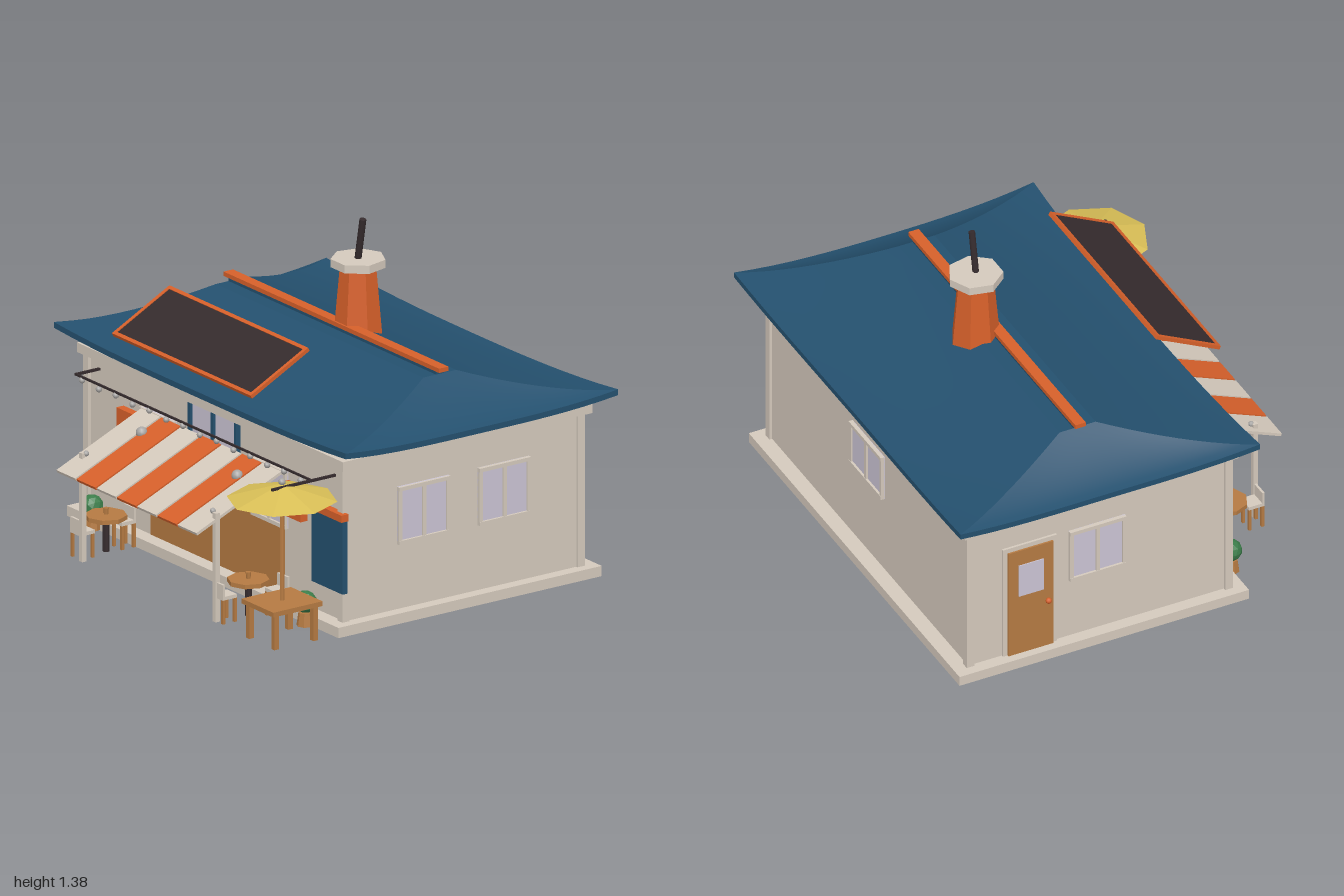
import * as THREE from 'three';

const mat = (name, color, extra = {}) => Object.assign(new THREE.MeshStandardMaterial({ color, ...extra }), { name });
const cream = mat('cream', 0xd4c9bc), orange = mat('orange', 0xd6602a), blue = mat('blue', 0x24506e);
const dark = mat('dark', 0x352b2d), wood = mat('wood', 0xb57a42), glass = mat('glass', 0xcbc4d4);
const green = mat('green', 0x3c7d4a, { flatShading: true }), grey = mat('grey', 0xa9a7a5);
const yellow = mat('yellow', 0xd8be56, { flatShading: true, side: THREE.DoubleSide });
const flatOrange = orange, CX = -0.015, CZ = -0.2;

function add(parent, name, geo, material, x = 0, y = 0, z = 0) {
  const m = new THREE.Mesh(geo, material);
  m.name = name;
  m.position.set(x, y, z);
  parent.add(m);
  return m;
}
// box given by its extents on each axis
function box(parent, name, material, x0, x1, y0, y1, z0, z1) {
  return add(parent, name, new THREE.BoxGeometry(x1 - x0, y1 - y0, z1 - z0), material,
    (x0 + x1) / 2, (y0 + y1) / 2, (z0 + z1) / 2);
}
// faceted prism or frustum standing on y
function prism(parent, name, material, rTop, rBottom, y0, y1, x, z, sides) {
  const geo = new THREE.CylinderGeometry(rTop, rBottom, y1 - y0, sides).toNonIndexed();
  geo.computeVertexNormals();
  return add(parent, name, geo, material, x, (y0 + y1) / 2, z);
}
function group(parent, name, x = 0, y = 0, z = 0, turn = 0) {
  const g = new THREE.Group();
  g.name = name;
  g.position.set(x, y, z);
  g.rotation.y = turn;
  parent.add(g);
  return g;
}

// framed window on a wall, its outside facing local +z, origin at the sill centre
function windowUnit(parent, name, x, y, z, turn, w = 0.25, h = 0.24) {
  const g = group(parent, name, x, y, z, turn), f = 0.016;
  box(g, 'pane', glass, -w / 2, w / 2, 0, h, 0, 0.008);
  for (const s of [-1, 0, 1]) {
    const c = s * (w - f) / 2;
    box(g, 'frameUpright', cream, c - f / 2, c + f / 2, 0, h, 0, 0.016);
  }
  for (const y0 of [0, h - f]) box(g, 'frameRail', cream, -w / 2, w / 2, y0, y0 + f, 0, 0.018);
}

// one side of the curved roof: t runs from eave (0) to ridge (1), u along the eave
function roofSheet(k, rows, drop, flip) {
  const [hw, hd, rw, rd] = k % 2 ? [0.665, 0.985, 0.08, 0.7] : [0.985, 0.665, 0.7, 0.08];
  const geo = new THREE.PlaneGeometry(2, 1, 16, rows), p = geo.attributes.position;
  for (let i = 0; i < p.count; i++) {
    const u = p.getX(i), v = p.getY(i) + 0.5, t = rows > 1 ? v : 0;
    const y = 0.765 + 0.15 * t ** 1.4 + 0.03 * (1 - t) ** 2 * Math.abs(u) ** 3;
    p.setXYZ(i, u * THREE.MathUtils.lerp(hw, rw, t), y - (rows > 1 ? drop : drop * (1 - v)),
      THREE.MathUtils.lerp(hd, rd, t) + 0.015 * (1 - t) * (u * u - 1));
  }
  if (flip) geo.index.array.reverse();
  geo.computeVertexNormals();
  return geo.rotateY(k * Math.PI / 2);
}

function buildRoof(root) {
  const roof = group(root, 'roof', CX, 0, CZ);
  for (let k = 0; k < 4; k++) {
    add(roof, 'roofSlope', roofSheet(k, 10, 0, false), blue);
    add(roof, 'eaveEdge', roofSheet(k, 1, 0.024, false), blue);
    add(roof, 'soffit', roofSheet(k, 10, 0.024, true), cream);
  }
  box(roof, 'ridgeTop', blue, -0.7, 0.7, 0.895, 0.915, -0.08, 0.08);
  box(roof, 'ridgeBeam', blue, -0.7, 0.7, 0.91, 0.935, -0.018, 0.018);
  box(roof, 'ridgeCap', orange, -0.727, 0.727, 0.93, 0.948, -0.023, 0.023);

  // chimney with cap and leaning pipe
  const chimney = group(root, 'chimney', 0.038, 0, -0.27, Math.PI);
  prism(chimney, 'chimneyStack', flatOrange, 0.074, 0.1, 0.88, 1.175, 0, 0, 7);
  prism(chimney, 'chimneyCap', cream, 0.112, 0.112, 1.173, 1.207, 0, 0, 7);
  const pipe = add(root, 'pipe', new THREE.CylinderGeometry(0.014, 0.014, 0.18, 8), dark, 0.06, 1.29, -0.265);
  pipe.rotation.z = -0.19;

  // tilted roof board
  const board = group(root, 'roofBoard', -0.017, 0.975, 0.41);
  board.rotation.x = 0.472;
  box(board, 'boardPanel', dark, -0.46, 0.46, -0.005, 0.005, -0.15, 0.15);
  for (const s of [-1, 1]) {
    box(board, 'boardSide', orange, s * 0.46 - 0.008, s * 0.46 + 0.008, -0.008, 0.008, -0.158, 0.158);
    box(board, 'boardRail', orange, -0.468, 0.468, -0.008, 0.008, s * 0.15 - 0.008, s * 0.15 + 0.008);
  }
}

function buildWalls(root) {
  box(root, 'base', cream, -0.933, 0.9, 0, 0.043, -0.835, 0.45);
  box(root, 'walls', cream, -0.88, 0.85, 0.043, 0.765, -0.77, 0.385);
  for (const x of [-0.875, 0.842]) for (const z of [-0.765, 0.383])
    box(root, 'cornerPost', cream, x - 0.017, x + 0.017, 0.043, 0.69, z - 0.017, z + 0.017);
  box(root, 'topBeam', cream, -0.91, 0.885, 0.685, 0.725, -0.8, 0.417);

  for (const z of [0.004, -0.389]) windowUnit(root, 'sideWindow', 0.85, 0.315, z, Math.PI / 2);
  windowUnit(root, 'leftWindow', -0.88, 0.315, -0.2, -Math.PI / 2);
  windowUnit(root, 'backWindow', -0.015, 0.387, -0.77, Math.PI, 0.28, 0.205);

  // side door
  const door = group(root, 'sideDoor', -0.88, 0.043, -0.5, -Math.PI / 2);
  box(door, 'doorFrame', cream, -0.12, 0.12, 0, 0.52, 0, 0.01);
  box(door, 'doorLeaf', wood, -0.1, 0.1, 0, 0.5, 0, 0.018);
  box(door, 'doorPane', glass, -0.055, 0.055, 0.28, 0.43, 0.018, 0.022);
  add(door, 'doorKnob', new THREE.SphereGeometry(0.013, 8, 6), orange, 0.075, 0.22, 0.025);

  // shop front: shuttered windows, serving window, counter panel, blue door
  for (const x of [-0.395, 0.358]) {
    windowUnit(root, 'frontWindow', x, 0.325, 0.385, 0, 0.23);
    for (const s of [-1, 1]) box(root, 'shutter', orange, x + s * 0.18 - 0.064, x + s * 0.18 + 0.064, 0.395, 0.53, 0.385, 0.42);
  }
  box(root, 'servingPane', glass, -0.18, 0.145, 0.335, 0.695, 0.385, 0.393);
  for (const x of [-0.173, -0.017, 0.14]) box(root, 'servingMullion', blue, x - 0.008, x + 0.008, 0.335, 0.695, 0.385, 0.405);
  box(root, 'counterPanel', wood, -0.45, 0.45, 0.045, 0.325, 0.385, 0.391);
  box(root, 'menuPanel', dark, -0.015, 0.09, 0.335, 0.4, 0.385, 0.41);
  add(root, 'sillPlant', new THREE.IcosahedronGeometry(0.032, 0), green, -0.213, 0.36, 0.41);
  box(root, 'blueDoor', blue, 0.66, 0.87, 0.165, 0.475, 0.385, 0.408);
  box(root, 'doorLintel', orange, 0.655, 0.878, 0.47, 0.5, 0.385, 0.42);
}

function buildAwning(root) {
  const awning = group(root, 'awning', -0.0135, 0.474, 0.615);
  awning.rotation.x = Math.atan2(0.173, 0.41);
  for (let i = 0; i < 7; i++) {
    const x = (i - 3) * 0.1363;
    box(awning, 'awningStripe', i % 2 ? orange : cream, x - 0.0635, x + 0.0635, -0.006, 0.006, -0.225, 0.225);
  }
  box(awning, 'awningRail', orange, -0.45, 0.45, -0.018, -0.006, 0.2, 0.215);
  for (const x of [-0.45, 0.45]) {
    box(root, 'awningPost', cream, x - 0.011, x + 0.011, 0, 0.455, 0.71, 0.732);
    add(root, 'awningBolt', new THREE.SphereGeometry(0.012, 8, 6), grey, x * 0.95 - 0.015, 0.45, 0.71);
  }
  for (const x of [-0.345, 0.3]) add(root, 'awningLamp', new THREE.SphereGeometry(0.024, 10, 8), grey, x, 0.525, 0.51);

  // string lights
  box(root, 'lightWire', dark, -0.8, 0.8, 0.637, 0.645, 0.5, 0.508);
  box(root, 'wireArm', dark, 0.79, 0.8, 0.636, 0.646, 0.39, 0.7);
  box(root, 'wireArm', dark, -0.8, -0.79, 0.636, 0.646, 0.39, 0.508);
  for (let i = 0; i < 14; i++)
    add(root, 'bulb', new THREE.SphereGeometry(0.013, 8, 6), grey, -0.755 + i * 0.1135, 0.622 + (i % 2 ? 0 : 0.006), 0.504);
}

// chair with its back towards local +z
function chair(root, x, z, turn) {
  const g = group(root, 'chair', x, 0, z, turn);
  box(g, 'chairSeat', cream, -0.035, 0.035, 0.1, 0.115, -0.035, 0.035);
  box(g, 'chairBack', cream, -0.035, 0.035, 0.115, 0.165, 0.025, 0.035);
  for (const a of [-1, 1]) for (const b of [-1, 1])
    box(g, 'chairLeg', wood, a * 0.028 - 0.006, a * 0.028 + 0.006, 0, 0.1, b * 0.028 - 0.006, b * 0.028 + 0.006);
}

function buildTerrace(root) {
  for (const x of [-0.495, 0.465]) {
    prism(root, 'roundTableTop', wood, 0.085, 0.085, 0.137, 0.155, x, 0.575, 8);
    prism(root, 'roundTableLeg', dark, 0.014, 0.014, 0, 0.137, x, 0.575, 8);
    prism(root, 'cup', wood, 0.011, 0.009, 0.155, 0.182, x, 0.575, 8);
    chair(root, x, 0.69, 0);
  }
  chair(root, -0.5, 0.485, Math.PI);
  chair(root, 0.535, 0.485, Math.PI);

  // square table with parasol
  const set = group(root, 'parasolTable', 0.775, 0, 0.635);
  box(set, 'squareTableTop', wood, -0.107, 0.107, 0.143, 0.163, -0.12, 0.12);
  for (const a of [-1, 1]) for (const b of [-1, 1])
    box(set, 'squareTableLeg', wood, a * 0.085 - 0.011, a * 0.085 + 0.011, 0, 0.145, b * 0.095 - 0.011, b * 0.095 + 0.011);
  prism(set, 'parasolPole', wood, 0.009, 0.009, 0.16, 0.65, 0, 0, 8);
  add(set, 'parasolCanopy', new THREE.ConeGeometry(0.222, 0.065, 8, 1, true), yellow, 0, 0.618, 0);
  add(set, 'parasolKnob', new THREE.SphereGeometry(0.015, 8, 6), grey, 0, 0.657, 0);

  // potted shrubs
  for (const x of [-0.735, 0.705]) {
    prism(root, 'pot', wood, 0.028, 0.036, 0.005, 0.06, x, 0.47, 8);
    add(root, 'shrub', new THREE.IcosahedronGeometry(0.046, 1), green, x, 0.103, 0.47);
  }
}

export function createModel() {
  const root = new THREE.Group();
  root.name = 'cafe';
  buildWalls(root);
  buildRoof(root);
  buildAwning(root);
  buildTerrace(root);
  return root;
}
